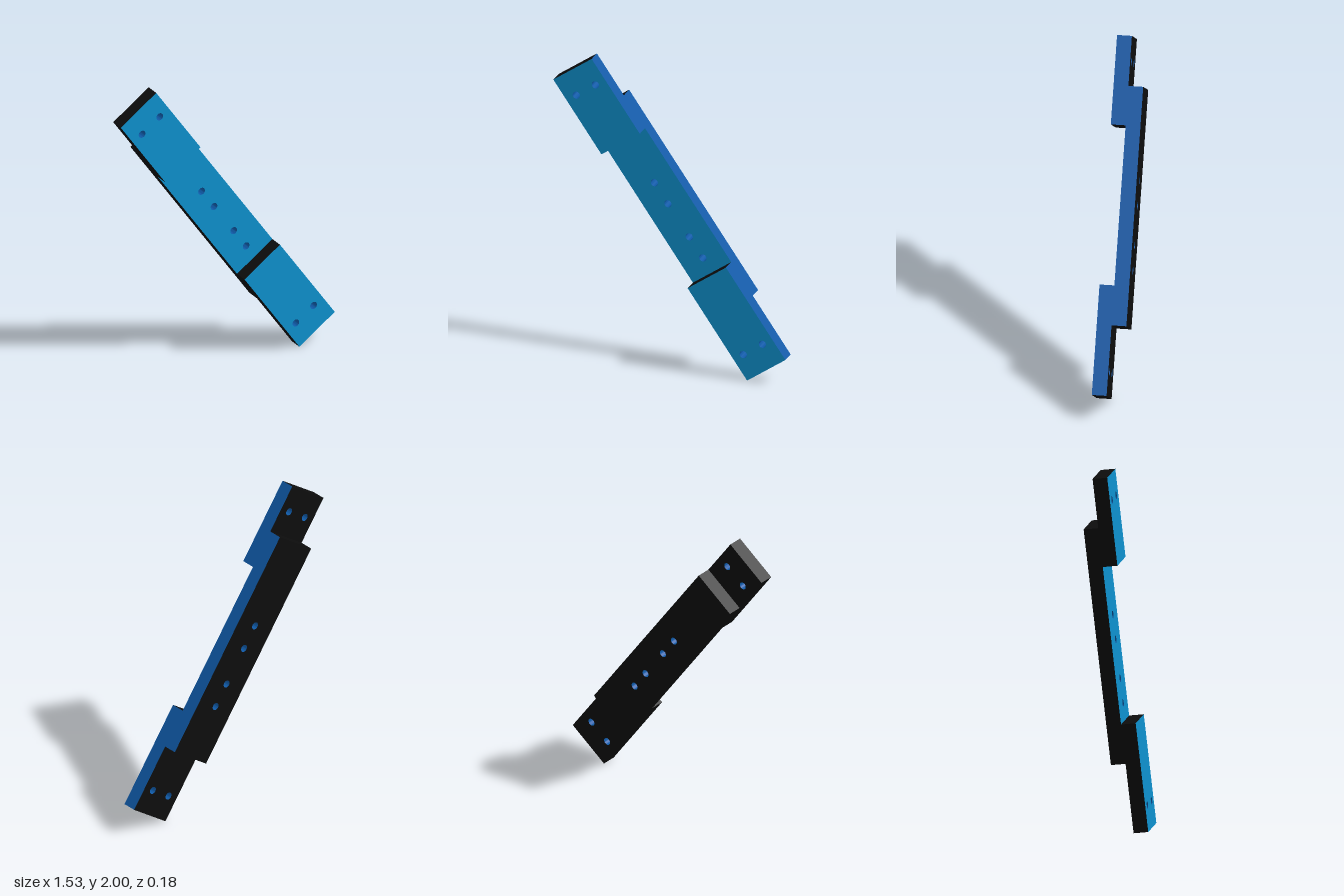
import * as THREE from 'three';
import { toCreasedNormals } from 'three/addons/utils/BufferGeometryUtils.js';

const WIDTH = 0.308, DEPTH = 0.092, LENGTH = 2.225, HOLE = 0.024;

const paint = (name, color) => {
  const m = new THREE.MeshStandardMaterial({ color });
  m.name = name;
  return m;
};

// Drilled bar spanning y0..y1 along the strip, from z to z + DEPTH
function barGeometry(y0, y1, z, holes) {
  const w = WIDTH / 2;
  const shape = new THREE.Shape([[-w, y0], [w, y0], [w, y1], [-w, y1]].map(p => new THREE.Vector2(...p)));
  for (const [x, y] of holes) {
    shape.holes.push(new THREE.Path().absarc(x, y, HOLE, 0, Math.PI * 2, true));
  }
  const g = new THREE.ExtrudeGeometry(shape, { depth: DEPTH, bevelEnabled: false, curveSegments: 12 });
  g.translate(0, 0, z);
  return toCreasedNormals(g, 0.6);
}

// Which colour a triangle takes: 0 front, 1 right edge and bores, 2 the rest
function faceColour(centre, normal) {
  if (normal.z > 0.9) return 0;
  if (normal.z < -0.9) return 2;
  const inBore = Math.abs(centre.x) < WIDTH / 2 - 0.02 && Math.abs(normal.y) < 0.999;
  return inBore || normal.x > 0.9 && centre.x > 0 ? 1 : 2;
}

// Reorder triangles so every colour forms one geometry group
function groupByColour(geometry) {
  const pos = geometry.attributes.position;
  const sets = [[], [], []];
  const tri = new THREE.Triangle(), centre = new THREE.Vector3(), normal = new THREE.Vector3();
  for (let i = 0; i < pos.count; i += 3) {
    tri.setFromAttributeAndIndices(pos, i, i + 1, i + 2);
    tri.getMidpoint(centre);
    tri.getNormal(normal);
    sets[faceColour(centre, normal)].push(i, i + 1, i + 2);
  }
  geometry.setIndex(sets.flat());
  geometry.clearGroups();
  let start = 0;
  sets.forEach((set, k) => {
    geometry.addGroup(start, set.length, k);
    start += set.length;
  });
  return geometry;
}

export function createModel() {
  const materials = [
    paint('bright blue', 0x0e92d0),
    paint('deep blue', 0x0f5aa8),
    paint('black', 0x0d0d0d),
  ];
  const top = LENGTH / 2;
  const at = s => top - s; // distance from the upper end to local height

  const pair = y => [[-0.077, y], [0.077, y]];
  const parts = [
    ['upperPlate', at(0.553), at(0), 0, pair(at(0.154))],
    ['backBar', at(1.789), at(0.309), -DEPTH, [0.88, 1.035, 1.28, 1.435].map(s => [0, at(s)])],
    ['lowerPlate', at(LENGTH), at(1.542), 0, pair(at(LENGTH - 0.154))],
  ];

  const model = new THREE.Group();
  model.name = 'steppedBar';
  for (const [name, y0, y1, z, holes] of parts) {
    const mesh = new THREE.Mesh(groupByColour(barGeometry(y0, y1, z, holes)), materials);
    mesh.name = name;
    // Lean the whole strip to one side
    mesh.rotation.z = THREE.MathUtils.degToRad(35);
    mesh.position.y = 1;
    model.add(mesh);
  }
  return model;
}
